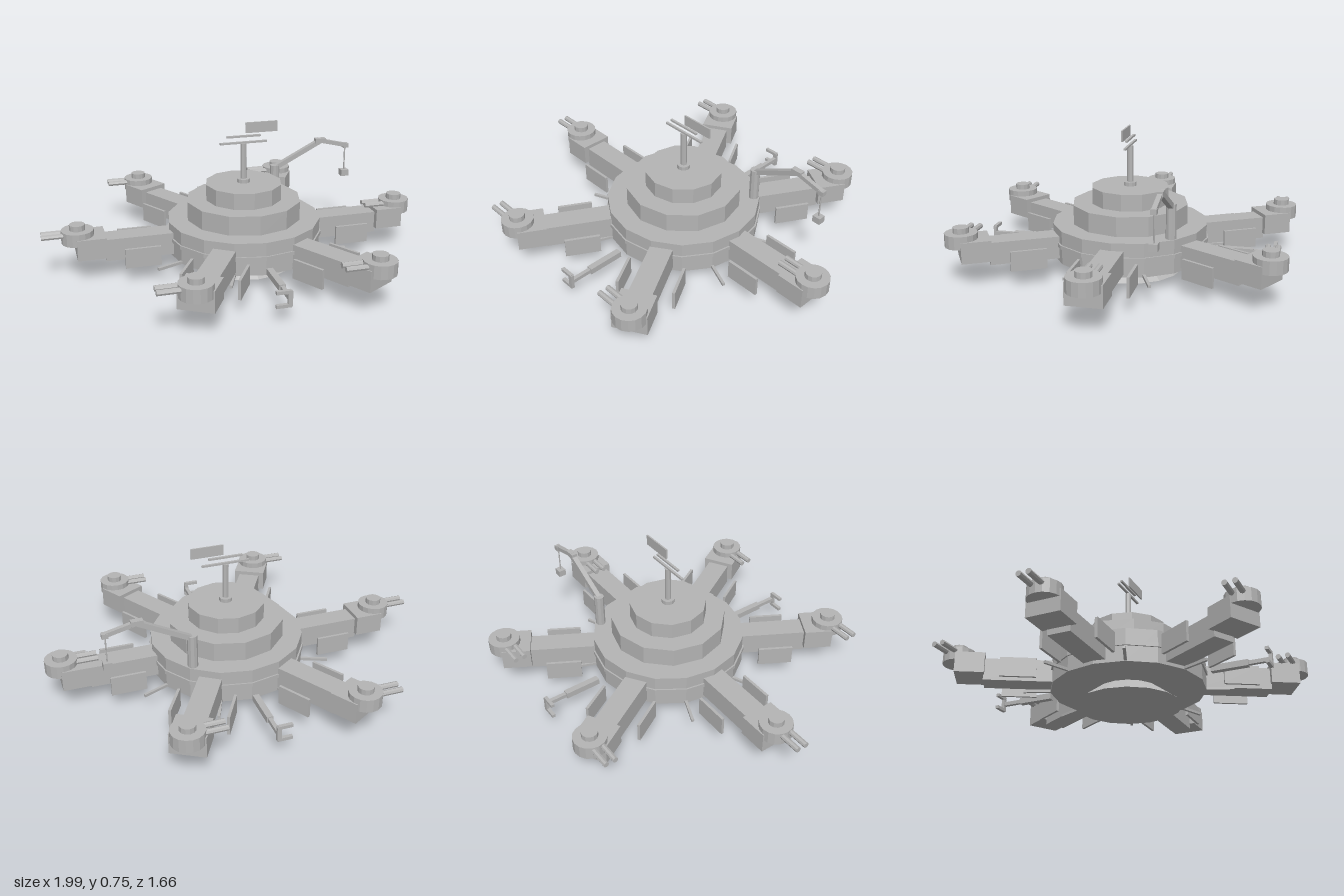
import * as THREE from 'three';

export function createModel() {
  const model = new THREE.Group();
  const grey = new THREE.MeshStandardMaterial({ color: 0xb4b4b4, flatShading: true });
  grey.name = 'hull grey';

  const add = (parent, name, geometry, x, y, z) => {
    const mesh = new THREE.Mesh(geometry, grey);
    mesh.name = name;
    mesh.position.set(x, y, z);
    parent.add(mesh);
    return mesh;
  };
  // box given by its low and high corners
  const box = (parent, name, x0, x1, y0, y1, z0, z1) =>
    add(parent, name, new THREE.BoxGeometry(x1 - x0, y1 - y0, z1 - z0),
      (x0 + x1) / 2, (y0 + y1) / 2, (z0 + z1) / 2);
  // upright drum between two heights
  const drum = (parent, name, rTop, rBottom, y0, y1, sides, x = 0, z = 0) =>
    add(parent, name, new THREE.CylinderGeometry(rTop, rBottom, y1 - y0, sides), x, (y0 + y1) / 2, z);
  const group = (parent, name, angle = 0) => {
    const g = new THREE.Group();
    g.name = name;
    g.rotation.y = angle;
    parent.add(g);
    return g;
  };

  // everything is laid out around the hub axis
  const station = group(model, 'station');
  station.position.x = 0.04;

  // stepped hub
  drum(station, 'baseCone', 0.165, 0.275, 0, 0.08, 16);
  drum(station, 'hub', 0.4, 0.4, 0.08, 0.25, 16);
  drum(station, 'hubRing', 0.408, 0.408, 0.16, 0.18, 16);
  drum(station, 'middleTier', 0.3, 0.3, 0.25, 0.35, 12);
  drum(station, 'topTier', 0.2, 0.2, 0.35, 0.435, 12);

  // mast with antenna bars and a flat panel
  drum(station, 'mastFoot', 0.034, 0.034, 0.435, 0.455, 12);
  drum(station, 'mast', 0.016, 0.016, 0.455, 0.642, 8);
  box(station, 'lowerAntennaBar', -0.125, 0.125, 0.641, 0.651, -0.006, 0.006);
  box(station, 'upperAntennaBar', -0.09, 0.09, 0.674, 0.684, -0.006, 0.006);
  box(station, 'antennaPanel', 0.01, 0.18, 0.695, 0.75, -0.004, 0.004);

  // six arms with pods, side panels and turrets; every turret aims at -x
  for (let i = 0; i < 6; i++) {
    const angle = i * Math.PI / 3;
    const arm = group(station, 'arm', angle);
    box(arm, 'armBeam', 0.36, 0.735, 0.097, 0.212, -0.058, 0.058);
    box(arm, 'armPod', 0.73, 0.878, 0.125, 0.232, -0.087, 0.087);
    for (const s of [-1, 1]) {
      box(arm, 'sidePanel', 0.47, 0.65, 0.085, 0.185, s * 0.14 - 0.007, s * 0.14 + 0.007);
    }
    const turret = group(station, 'turret');
    turret.position.set(0.866 * Math.cos(angle), 0, 0.866 * Math.sin(angle));
    drum(turret, 'turretBody', 0.082, 0.082, 0.195, 0.262, 16);
    drum(turret, 'turretCap', 0.04, 0.04, 0.262, 0.29, 12);
    for (const s of [-1, 1]) {
      const barrel = add(turret, 'barrel', new THREE.CylinderGeometry(0.014, 0.014, 0.16, 8), -0.1, 0.243, s * 0.024);
      barrel.rotation.z = Math.PI / 2;
    }
  }

  // radial rods low on the rim
  for (let i = 0; i < 8; i++) {
    const rod = group(station, 'rimRod', (i + 0.5) * Math.PI / 4);
    box(rod, 'rod', 0.39, 0.54, 0.082, 0.096, -0.007, 0.007);
  }

  // docking clamps, front and back
  for (const s of [-1, 1]) {
    const clamp = group(station, 'dockingClamp');
    const z = (a, b) => [Math.min(s * a, s * b), Math.max(s * a, s * b)];
    box(clamp, 'clampArm', -0.016, 0.016, 0.108, 0.14, ...z(0.45, 0.64));
    box(clamp, 'clampRod', -0.01, 0.01, 0.114, 0.134, ...z(0.64, 0.75));
    box(clamp, 'clampPlate', -0.012, 0.01, 0.085, 0.162, ...z(0.742, 0.758));
    for (const y of [0.09, 0.158]) {
      box(clamp, 'clampFinger', -0.068, 0.005, y - 0.008, y + 0.008, ...z(0.74, 0.758));
    }
  }

  // crane on the rear left of the hub
  const crane = group(model, 'crane');
  crane.position.set(0.3, 0, -0.262);
  const boom = (name, x0, y0, x1, y1, size) => {
    const length = Math.hypot(x1 - x0, y1 - y0);
    const b = add(crane, name, new THREE.BoxGeometry(length, size, size), (x0 + x1) / 2, (y0 + y1) / 2, 0);
    b.rotation.z = Math.atan2(y1 - y0, x1 - x0);
  };
  drum(crane, 'cranePost', 0.026, 0.026, 0.25, 0.425, 10);
  boom('lowerBoom', 0, 0.41, 0.265, 0.545, 0.026);
  boom('upperBoom', 0.25, 0.55, 0.43, 0.507, 0.022);
  box(crane, 'elbow', 0.235, 0.295, 0.535, 0.56, -0.015, 0.015);
  box(crane, 'boomTip', 0.405, 0.435, 0.495, 0.52, -0.014, 0.014);
  drum(crane, 'cable', 0.004, 0.004, 0.36, 0.505, 6, 0.418);
  box(crane, 'hookBlock', 0.396, 0.44, 0.33, 0.365, -0.02, 0.02);

  return model;
}
